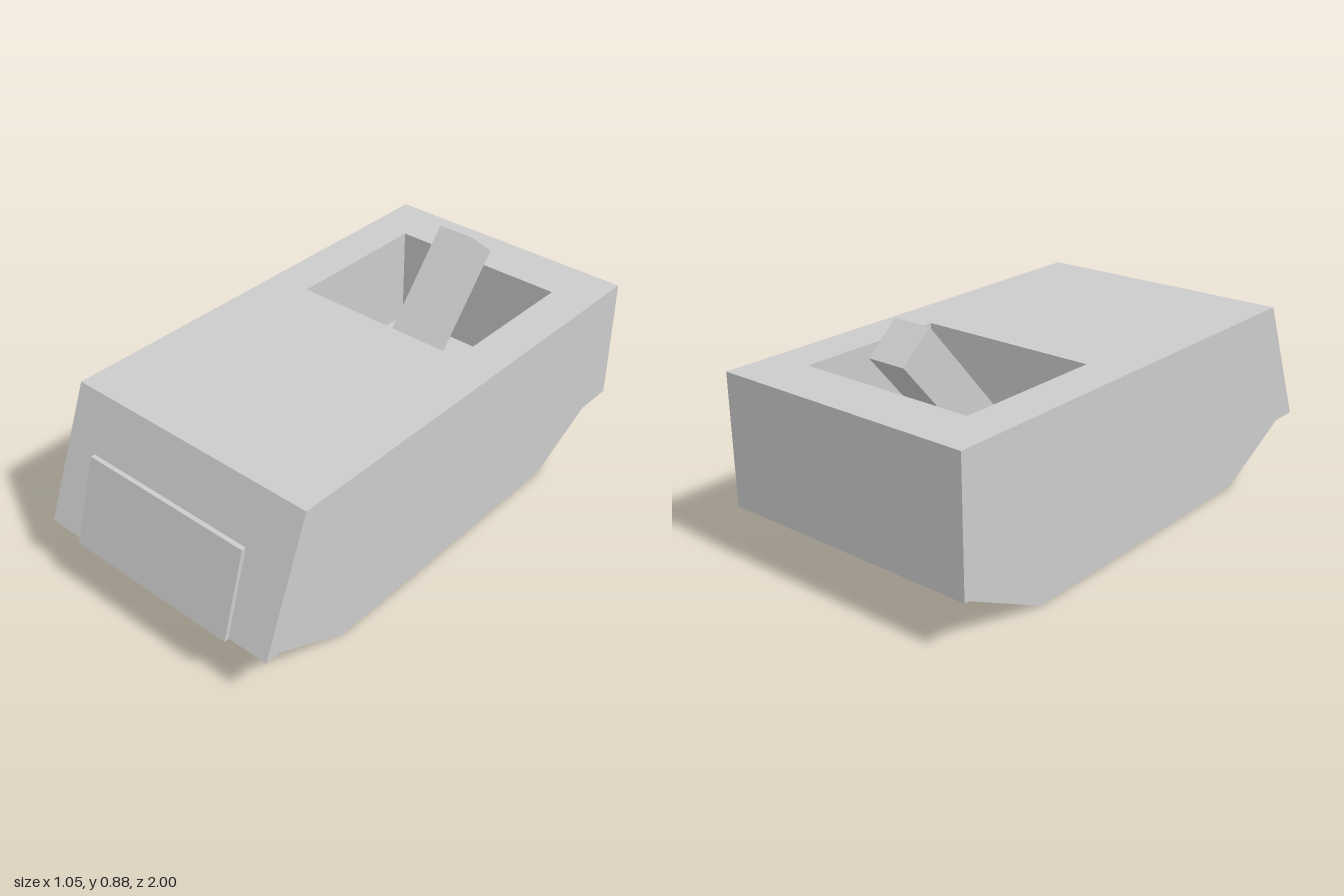
import * as THREE from 'three';

const material = new THREE.MeshStandardMaterial({ color: 0xcccccc, flatShading: true });

function part(name, geometry) {
  const mesh = new THREE.Mesh(geometry, material);
  mesh.name = name;
  return mesh;
}

const shapeOf = (points) => new THREE.Shape(points.map(([a, b]) => new THREE.Vector2(a, b)));

// Side profile of [z, y] points, extruded across x and centred on x = 0
function sideExtrude(points, width) {
  const geometry = new THREE.ExtrudeGeometry(shapeOf(points), { depth: width, bevelEnabled: false });
  return geometry.rotateY(-Math.PI / 2).translate(width / 2, 0, 0);
}

const rect = (x, z0, z1) => [[-x, -z1], [x, -z1], [x, -z0], [-x, -z0]];

export function createModel() {
  const group = new THREE.Group();
  const bottom = 0.2, top = 0.695;

  // Hull: plan outline with the cockpit opening, raised to the deck
  const plan = shapeOf(rect(0.525, -1, 0.98));
  plan.holes.push(new THREE.Path(rect(0.36, -0.79, -0.19).reverse().map(([x, y]) => new THREE.Vector2(x, y))));
  const hull = new THREE.ExtrudeGeometry(plan, { depth: top - bottom, bevelEnabled: false });
  hull.rotateX(-Math.PI / 2).translate(0, bottom, 0);

  // Lean the front face back
  const pos = hull.attributes.position;
  for (let i = 0; i < pos.count; i++) {
    if (pos.getZ(i) > 0.9 && pos.getY(i) > 0.6) pos.setZ(i, 0.78);
  }
  hull.computeVertexNormals();
  group.add(part('hull', hull));

  // Floor of the opening
  const floor = part('openingFloor', new THREE.BoxGeometry(0.72, 0.1, 0.6));
  floor.position.set(0, bottom + 0.05, -0.49);
  group.add(floor);

  // Leaning post rising out of the opening
  const post = part('post', new THREE.BoxGeometry(0.156, 0.59, 0.163));
  post.position.set(0, 0.607, -0.52);
  post.rotation.x = -0.705;
  group.add(post);

  // Thin sloping front panel
  group.add(part('frontPanel', sideExtrude([[0.983, 0.2], [1, 0.2], [0.9, 0.523], [0.883, 0.523]], 0.72)));

  // Pair of runners below the hull
  for (const [name, side] of [['leftRunner', 1], ['rightRunner', -1]]) {
    const runner = part(name, sideExtrude([[-1, 0.2], [-0.6, 0], [0.58, 0], [0.98, 0.2]], 0.133));
    runner.position.x = side * 0.4265;
    group.add(runner);
  }
  return group;
}
